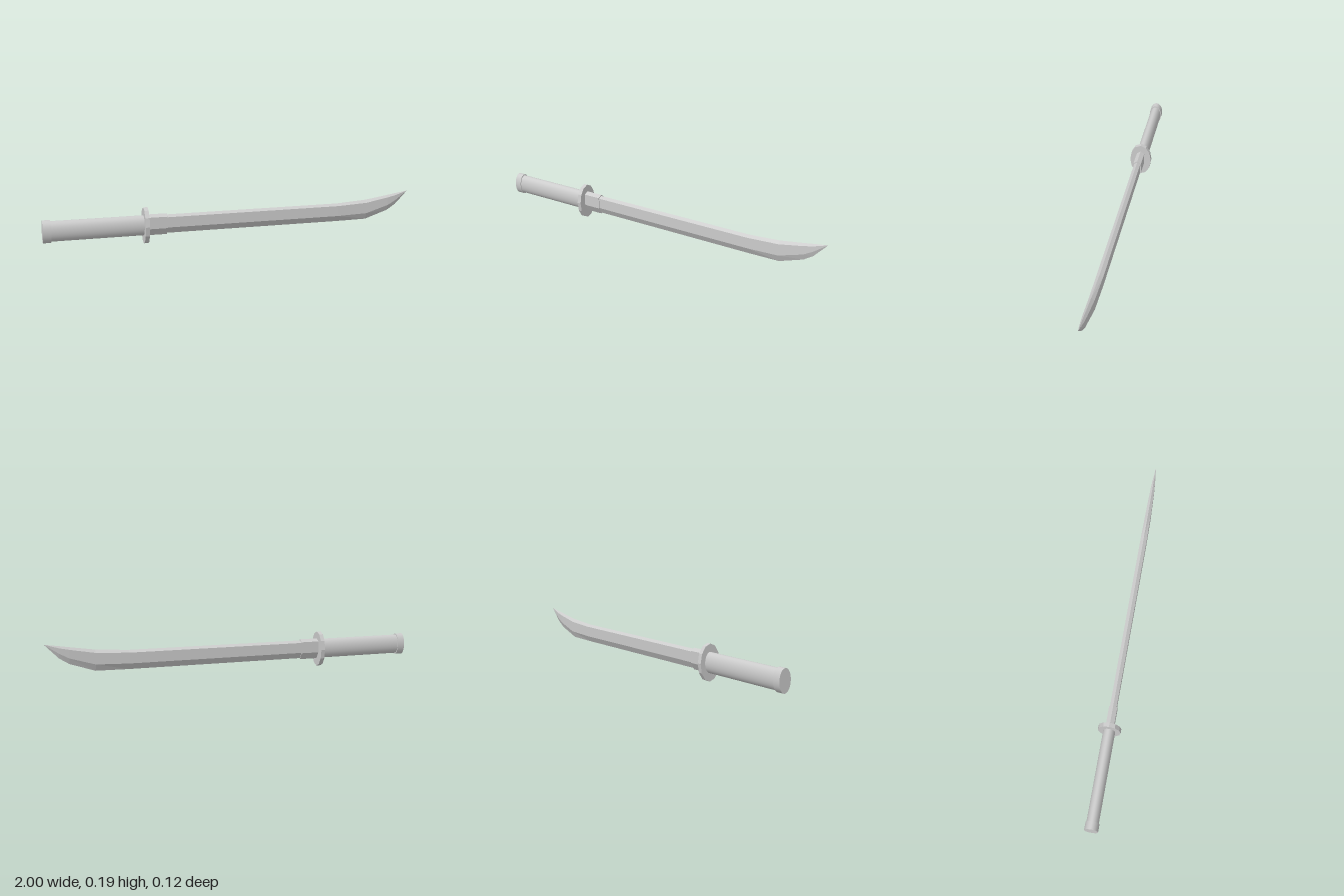
import * as THREE from 'three';

const material = new THREE.MeshStandardMaterial({ color: 0xcccccc });
const flatMaterial = new THREE.MeshStandardMaterial({ color: 0xcccccc, flatShading: true });

// Elliptical cylinder lying along x
function ovalBar(name, x0, x1, y, ry, rz, sides, mat) {
  const geometry = new THREE.CylinderGeometry(1, 1, x1 - x0, sides);
  geometry.rotateZ(-Math.PI / 2);
  geometry.scale(1, ry, rz);
  geometry.translate((x0 + x1) / 2, y, 0);
  const mesh = new THREE.Mesh(geometry, mat);
  mesh.name = name;
  return mesh;
}

// Six-sided blade section swept along x; each row is
// [x, spine y, upper ridge y, lower ridge y, edge y, half thickness]
function bladeLoft(name, rows) {
  const positions = [];
  const index = [];
  for (const [x, spine, upper, lower, edge, w] of rows) {
    positions.push(x, spine, 0, x, upper, w, x, lower, w, x, edge, 0, x, lower, -w, x, upper, -w);
  }
  for (let s = 0; s < rows.length - 1; s++) {
    for (let i = 0; i < 6; i++) {
      const a = s * 6 + i;
      const b = s * 6 + (i + 1) % 6;
      index.push(a, b, b + 6, a, b + 6, a + 6);
    }
  }
  // End caps
  const last = (rows.length - 1) * 6;
  for (let i = 1; i < 5; i++) {
    index.push(0, i + 1, i, last, last + i, last + i + 1);
  }
  const geometry = new THREE.BufferGeometry();
  geometry.setAttribute('position', new THREE.Float32BufferAttribute(positions, 3));
  geometry.setIndex(index);
  const flat = geometry.toNonIndexed();
  flat.computeVertexNormals();
  const mesh = new THREE.Mesh(flat, flatMaterial);
  mesh.name = name;
  return mesh;
}

export function createModel() {
  const group = new THREE.Group();
  group.name = 'sword';

  // Grip with its end cap
  group.add(ovalBar('pommel', -1, -0.96, 0.097, 0.058, 0.035, 32, material));
  group.add(ovalBar('grip', -0.97, -0.485, 0.097, 0.052, 0.031, 32, material));

  // Twelve-sided oval guard
  group.add(ovalBar('guard', -0.492, -0.47, 0.096, 0.094, 0.059, 12, flatMaterial));

  // Collar that holds the blade
  group.add(bladeLoft('collar', [
    [-0.475, 0.152, 0.138, 0.078, 0.043, 0.021],
    [-0.37, 0.152, 0.138, 0.078, 0.043, 0.021],
  ]));

  // Blade, sweeping up to the point
  group.add(bladeLoft('blade', [
    [-0.38, 0.146, 0.134, 0.08, 0.049, 0.017],
    [0.58, 0.147, 0.135, 0.08, 0.049, 0.017],
    [0.75, 0.158, 0.143, 0.085, 0.051, 0.015],
    [0.88, 0.177, 0.165, 0.122, 0.093, 0.011],
    [0.93, 0.185, 0.175, 0.148, 0.124, 0.008],
    [1.0, 0.195, 0.195, 0.194, 0.194, 0.0005],
  ]));

  return group;
}
